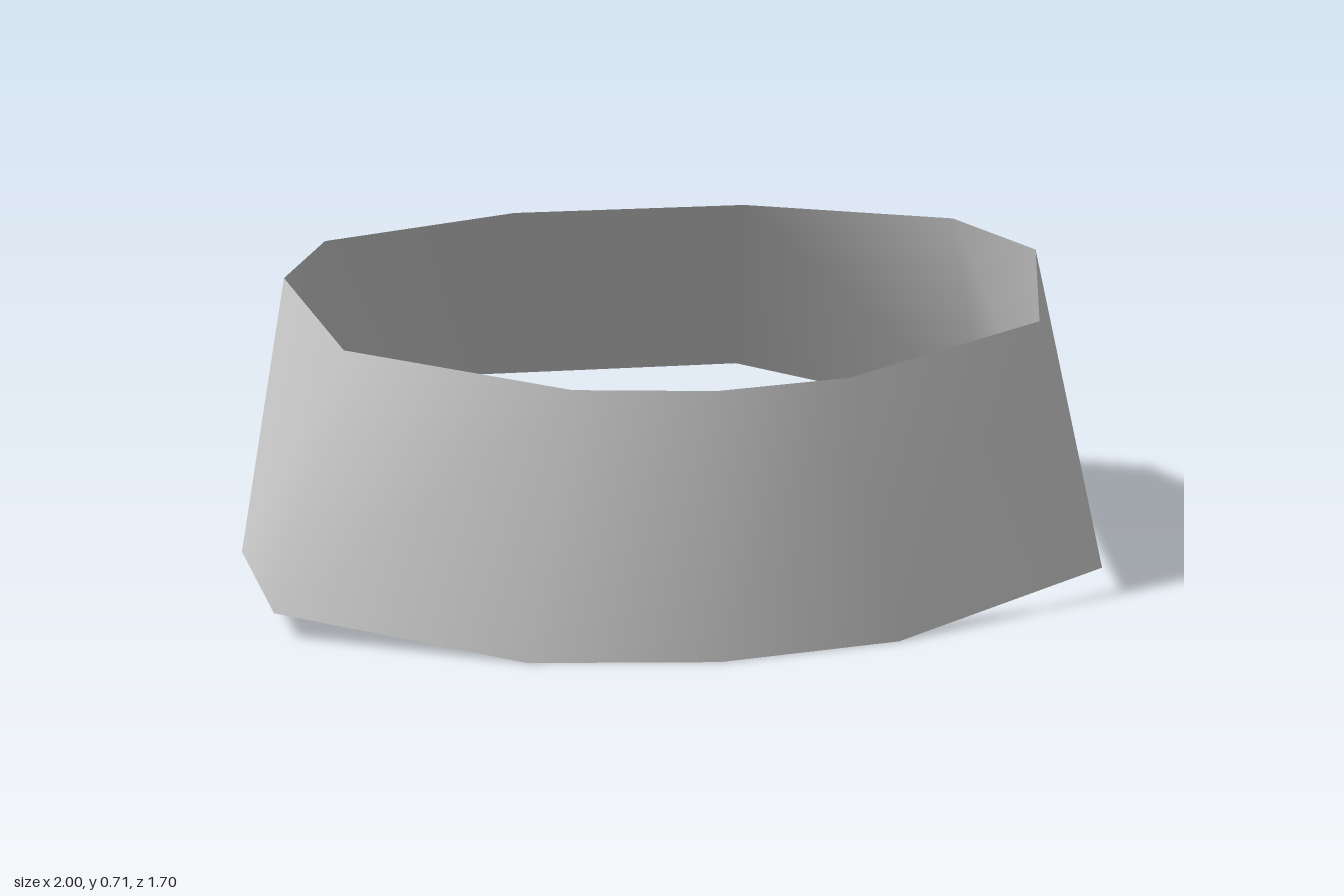
import * as THREE from 'three';

// Half of each rim, from the front centre round the left side to the back: [x, y, z]
const lowerHalf = [
  [0, 0, 0.85], [0.41, 0, 0.79], [0.94, 0.06, 0.56],
  [1, 0.06, 0.14], [0.94, 0.12, -0.44], [0.35, 0.18, -0.85],
];
const upperHalf = [
  [0, 0.59, 0.79], [0.3, 0.59, 0.735], [0.77, 0.65, 0.56],
  [0.88, 0.71, 0.14], [0.77, 0.71, -0.21], [0.29, 0.71, -0.44],
];

// Mirror a half rim across x = 0 into a closed loop
function fullRim(half) {
  const mirrored = half.slice(1).reverse().map(([x, y, z]) => [-x, y, z]);
  return [...half, ...mirrored];
}

// Join two rims with one smooth, open wall
function wallGeometry(lower, upper) {
  const n = lower.length;
  const index = [];
  for (let i = 0; i < n; i++) {
    const j = (i + 1) % n;
    index.push(i, j, n + j, i, n + j, n + i);
  }
  const geometry = new THREE.BufferGeometry();
  geometry.setAttribute('position', new THREE.Float32BufferAttribute([...lower, ...upper].flat(), 3));
  geometry.setIndex(index);
  geometry.computeVertexNormals();
  return geometry;
}

export function createModel() {
  const group = new THREE.Group();
  group.name = 'collar';

  const lightGrey = new THREE.MeshStandardMaterial({ color: 0xcccccc, side: THREE.DoubleSide });
  lightGrey.name = 'lightGrey';

  // Tapered band, open above and below
  const band = new THREE.Mesh(wallGeometry(fullRim(lowerHalf), fullRim(upperHalf)), lightGrey);
  band.name = 'band';
  group.add(band);

  return group;
}
